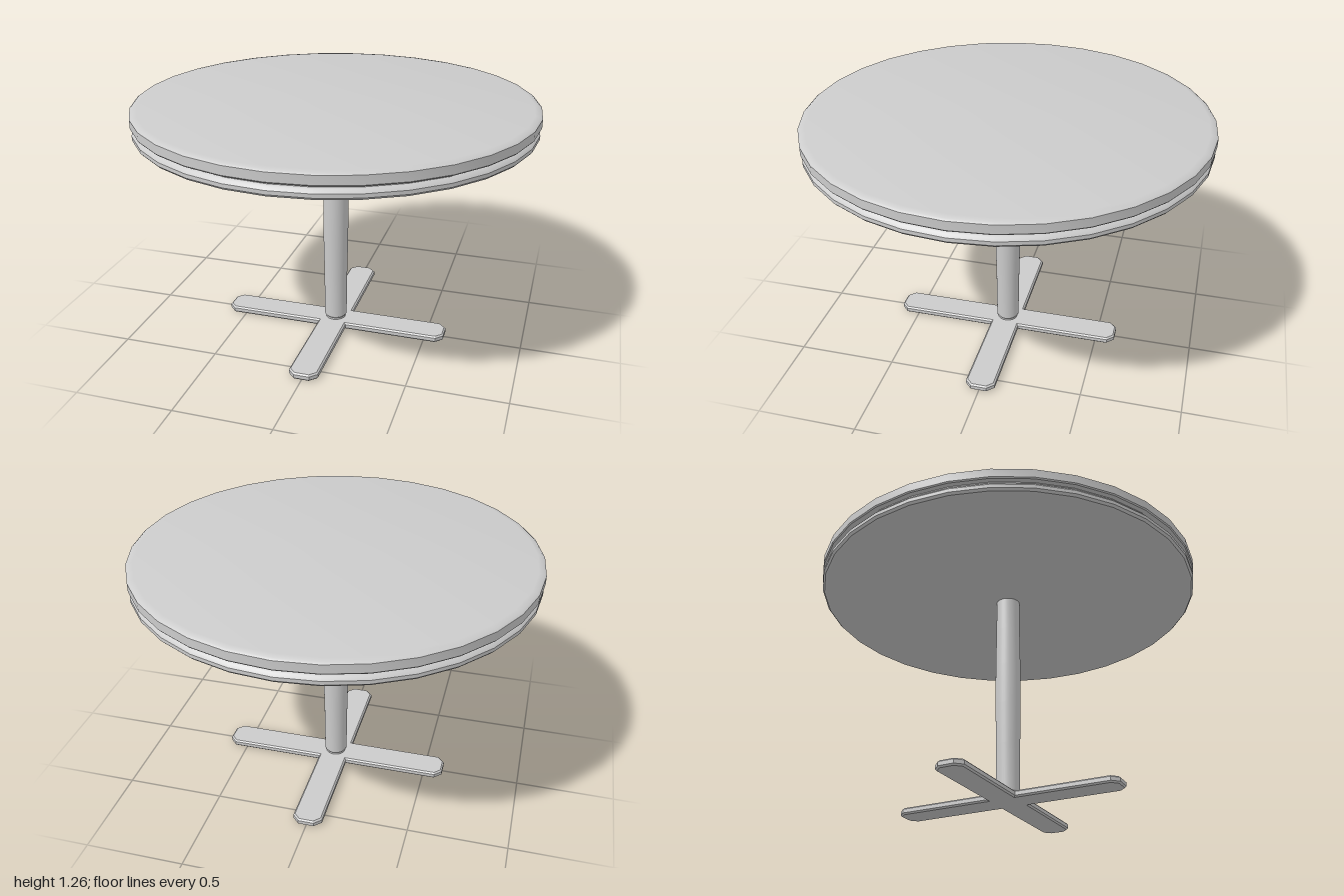
import * as THREE from 'three';
import { toCreasedNormals } from 'three/addons/utils/BufferGeometryUtils.js';

const material = new THREE.MeshStandardMaterial({ color: 0xcccccc });

function addPart(group, name, geometry, crease = 0.6) {
  const mesh = new THREE.Mesh(toCreasedNormals(geometry, crease), material);
  mesh.name = name;
  group.add(mesh);
}

// Profile of [radius, y] pairs, listed from bottom to top
function turned(profile, segments) {
  return new THREE.LatheGeometry(profile.map(([r, y]) => new THREE.Vector2(r, y)), segments);
}

// Four arms along x and z with clipped corners at the ends
function crossShape(reach, half, clip) {
  const arm = [[half, -half], [reach - clip, -half], [reach, -half + clip],
    [reach, half - clip], [reach - clip, half]];
  const points = [];
  for (let i = 0; i < 4; i++) {
    for (const [x, y] of arm) {
      points.push(new THREE.Vector2(x, y).rotateAround(new THREE.Vector2(), i * Math.PI / 2));
    }
  }
  return new THREE.Shape(points);
}

export function createModel() {
  const table = new THREE.Group();
  table.name = 'pedestalTable';

  // Round top: rounded lower band, narrow groove, straight upper band, bevelled rim
  addPart(table, 'tableTop', turned([
    [0, 1.128], [0.965, 1.128], [0.985, 1.131], [0.995, 1.142], [0.995, 1.16],
    [0.985, 1.174], [0.972, 1.18], [0.972, 1.19], [0.995, 1.192],
    [1, 1.198], [1, 1.241], [0.99, 1.249], [0.965, 1.253], [0, 1.257],
  ], 32));

  // Column, slightly swollen at mid height, with a narrow foot
  addPart(table, 'column', turned([
    [0.052, 0.03], [0.052, 0.045], [0.059, 0.055], [0.061, 0.3], [0.065, 0.52],
    [0.065, 0.74], [0.062, 0.95], [0.061, 1.13],
  ], 32));

  // Flat cross-shaped foot
  const bevel = 0.008;
  const foot = new THREE.ExtrudeGeometry(crossShape(0.6, 0.075, 0.035), {
    depth: 0.035 - 2 * bevel, bevelThickness: bevel, bevelSize: bevel,
    bevelOffset: -bevel, bevelSegments: 1,
  });
  foot.translate(0, 0, bevel).rotateX(-Math.PI / 2);
  addPart(table, 'crossFoot', foot, 0.4);

  return table;
}
